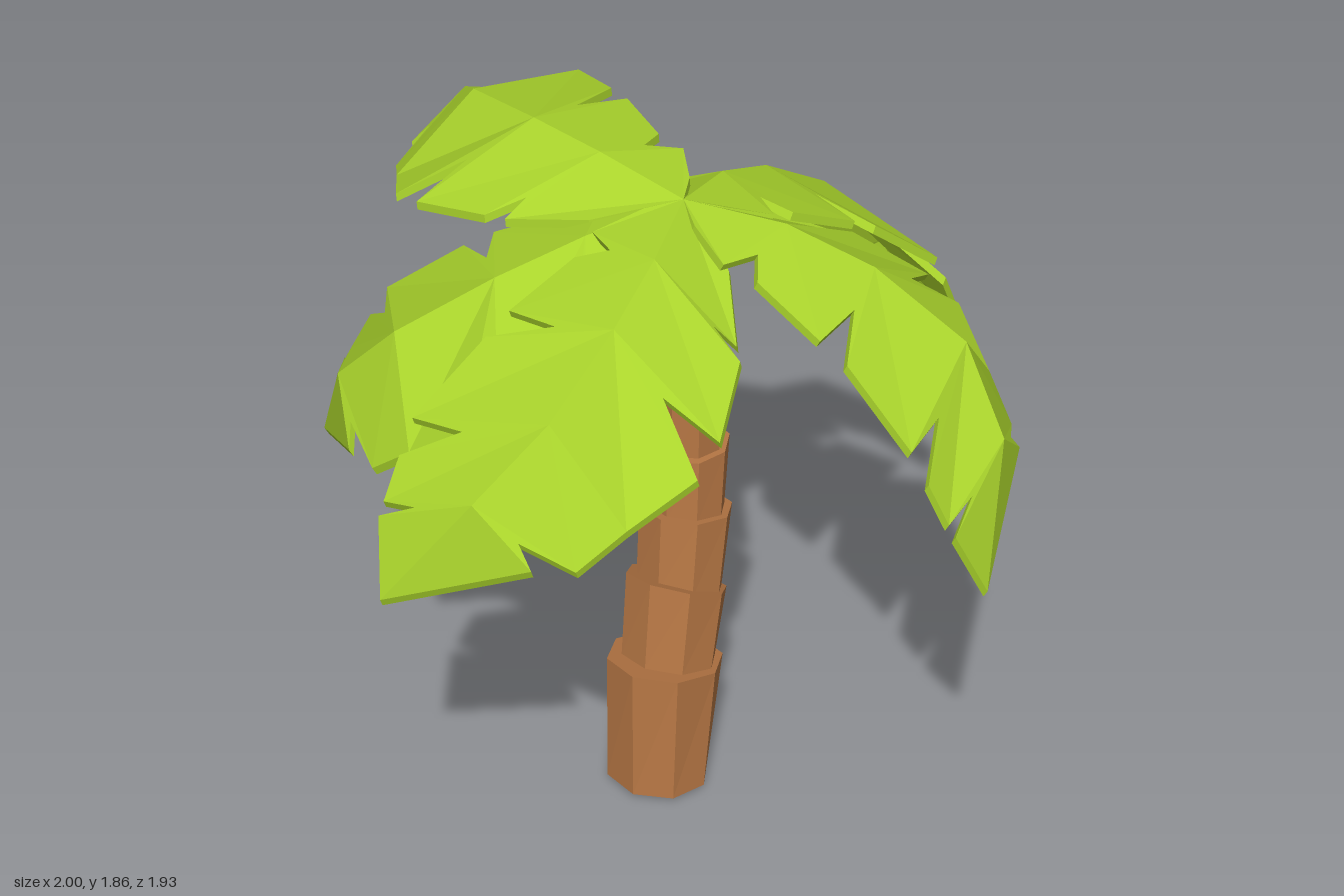
import * as THREE from 'three';

const bark = new THREE.MeshStandardMaterial({ color: 0xb87845, flatShading: true });
const leaf = new THREE.MeshStandardMaterial({ color: 0xaad42c, flatShading: true });

// Trunk rings: [front z, front y, back z, back y, half width], bottom then top
const trunkRings = [
  [[0.18, 0.015, -0.10, 0, 0.15], [0.18, 0.44, -0.19, 0.33, 0.158]],
  [[0.11, 0.42, -0.155, 0.33, 0.136], [0.08, 0.69, -0.22, 0.53, 0.141]],
  [[0.035, 0.64, -0.20, 0.53, 0.124], [0.02, 0.87, -0.26, 0.80, 0.128]],
  [[-0.01, 0.85, -0.23, 0.79, 0.108], [-0.015, 1.04, -0.26, 1.03, 0.109]],
  [[-0.045, 1.02, -0.235, 1.02, 0.09], [-0.04, 1.20, -0.235, 1.21, 0.094]],
  [[-0.05, 1.18, -0.21, 1.18, 0.075], [-0.05, 1.38, -0.22, 1.41, 0.081]],
];

// One tilted trunk segment: an eight-sided cylinder fitted to two rings
function trunkSegment([bottom, top]) {
  const geo = new THREE.CylinderGeometry(1, 1, 1, 8);
  const p = geo.attributes.position;
  for (let i = 0; i < p.count; i++) {
    const [zf, yf, zb, yb, w] = p.getY(i) > 0 ? top : bottom;
    const t = (1 - p.getZ(i)) / 2;
    p.setXYZ(i, 0.01 + p.getX(i) * w, yf + (yb - yf) * t, zf + (zb - zf) * t);
  }
  geo.computeVertexNormals();
  return new THREE.Mesh(geo, bark);
}

// Frond points: [distance out, height, sideways]
const V = ([x, y, z]) => new THREE.Vector3(x, y, z);
const midrib = [
  [0, 0, 0], [0.25, -0.04, -0.08], [0.48, -0.12, -0.12],
  [0.74, -0.26, -0.12], [0.90, -0.44, -0.02], [0.97, -0.75, 0.19],
].map(V);
// Outer corners of the five lobes on each side, and how far out each notch stops
const sides = [
  { // drooping side
    flip: false,
    notch: [0, 0.7, 0.52, 1, 0.57, 1],
    lobes: [
      [[0.10, -0.09, -0.20], [0.26, -0.19, -0.33]],
      [[0.30, -0.20, -0.365], [0.49, -0.31, -0.435]],
      [[0.58, -0.37, -0.435], [0.72, -0.48, -0.335]],
      [[0.72, -0.48, -0.335], [0.82, -0.57, -0.265]],
      [[0.88, -0.57, -0.18], [0.97, -0.75, 0.19]],
    ],
  },
  { // nearly level side
    flip: true,
    notch: [0, 0.62, 0.5, 0.6, 0.62, 1],
    lobes: [
      [[0.07, -0.02, 0.07], [0.19, -0.06, 0.14]],
      [[0.28, -0.09, 0.13], [0.48, -0.17, 0.18]],
      [[0.56, -0.21, 0.19], [0.77, -0.36, 0.25]],
      [[0.82, -0.44, 0.25], [0.88, -0.54, 0.25]],
      [[0.90, -0.57, 0.25], [0.97, -0.75, 0.19]],
    ],
  },
];

// A folded leaf with notched edges and a little thickness
function frondGeometry() {
  const pos = [];
  const under = new THREE.Vector3(-0.01, -0.02, 0);
  const low = (v) => v.clone().add(under);
  const tri = (a, b, c, flip) => {
    const area = b.clone().sub(a).cross(c.clone().sub(a)).length();
    if (area < 1e-6) return;
    for (const v of flip ? [a, c, b] : [a, b, c]) pos.push(v.x, v.y, v.z);
  };

  for (const { flip, notch, lobes } of sides) {
    const corners = lobes.map((l) => l.map(V));
    // inner end of each notch; the first and last lie on the midrib
    const inner = midrib.map((m, k) => {
      if (k === 0 || k === lobes.length) return m;
      const gap = corners[k - 1][1].clone().lerp(corners[k][0], 0.5);
      return m.clone().lerp(gap, notch[k]);
    });
    corners.forEach(([a, b], k) => {
      const [m0, m1, n0, n1] = [midrib[k], midrib[k + 1], inner[k], inner[k + 1]];
      // upper and lower faces
      for (const [p, q, r] of [[m0, m1, b], [m1, n1, b], [m0, b, a], [m0, a, n0]]) {
        tri(p, q, r, flip);
        tri(low(p), low(q), low(r), !flip);
      }
      // rim
      for (const [p, q] of [[n1, b], [b, a], [a, n0]]) {
        tri(p, low(p), q, flip);
        tri(q, low(p), low(q), flip);
      }
    });
  }
  const geo = new THREE.BufferGeometry();
  geo.setAttribute('position', new THREE.Float32BufferAttribute(pos, 3));
  geo.computeVertexNormals();
  return geo;
}

export function createModel() {
  const model = new THREE.Group();
  model.name = 'palmTree';

  const trunk = new THREE.Group();
  trunk.name = 'trunk';
  trunkRings.forEach((rings, i) => {
    const segment = trunkSegment(rings);
    segment.name = `trunkSegment${i + 1}`;
    trunk.add(segment);
  });
  model.add(trunk);

  // Fronds: heading and upward tilt in degrees, then size
  const crown = new THREE.Group();
  crown.name = 'crown';
  crown.position.set(0.02, 1.82, -0.08);
  const geo = frondGeometry();
  const fronds = [
    [0, 0, 1.01], [94, 5.5, 1.03], [147.5, -2, 1.02], [206, 19, 1.025], [282, -4, 1.025],
  ];
  fronds.forEach(([heading, tilt, size], i) => {
    const frond = new THREE.Mesh(geo, leaf);
    frond.name = `frond${i + 1}`;
    frond.rotation.set(0, -THREE.MathUtils.degToRad(heading), THREE.MathUtils.degToRad(tilt));
    frond.scale.setScalar(size);
    crown.add(frond);
  });
  model.add(crown);
  return model;
}
